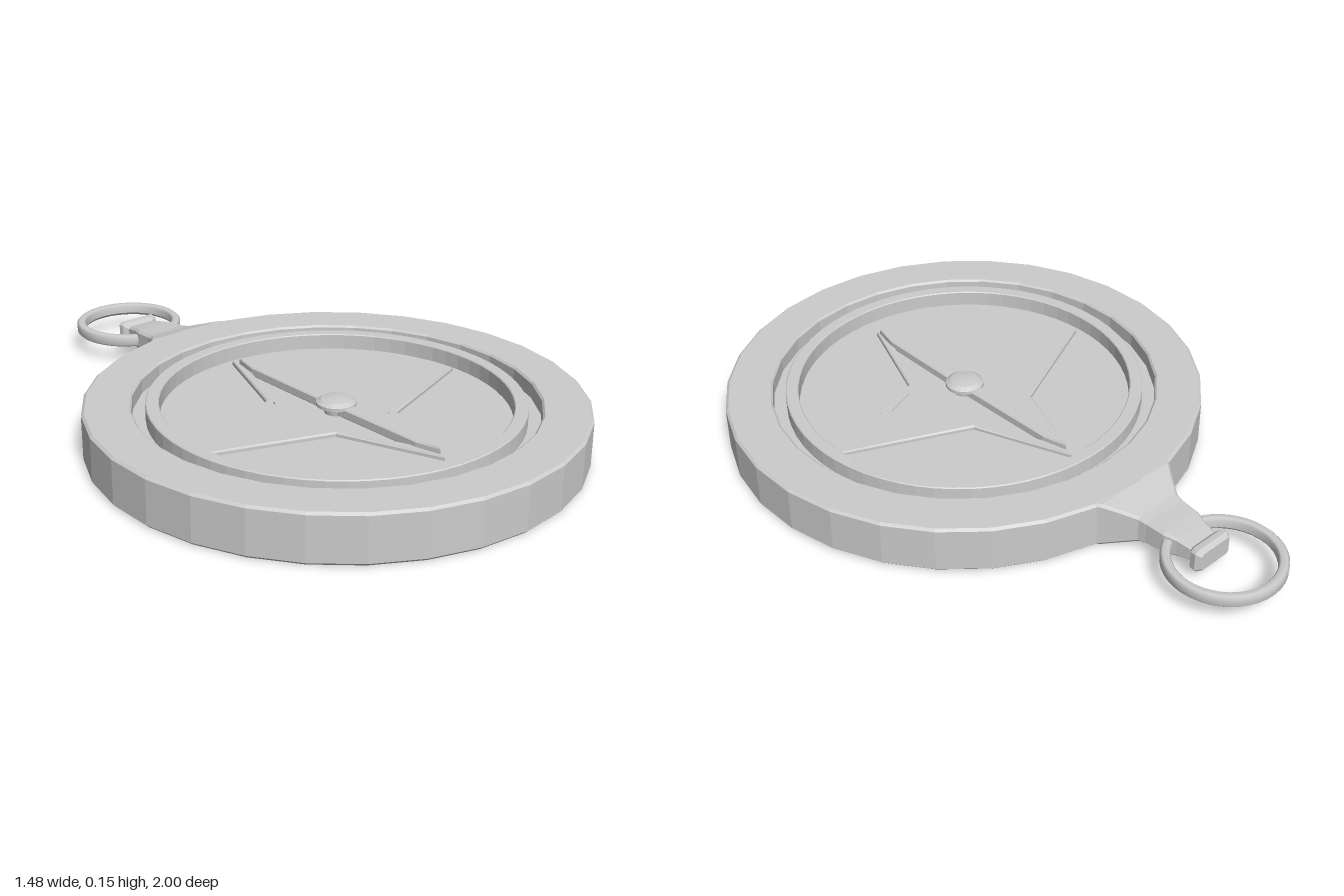
import * as THREE from 'three';

const flat = new THREE.MeshStandardMaterial({ color: 0xcccccc, flatShading: true });
const smooth = new THREE.MeshStandardMaterial({ color: 0xcccccc });
const DIAL_Z = 0.25, FLOOR = 0.1;

function add(group, name, geometry, z = 0, y = 0, material = flat) {
  const mesh = new THREE.Mesh(geometry, material);
  mesh.name = name;
  mesh.position.set(0, y, z);
  group.add(mesh);
  return mesh;
}

const lathe = (points, sides) =>
  new THREE.LatheGeometry(points.map(([r, y]) => new THREE.Vector2(r, y)), sides);

const outline = (points) => points.map(([x, z]) => new THREE.Vector2(x, -z));

// Lays an extruded outline flat, rising from y = 0
function slab(shape, depth, bevel) {
  return new THREE.ExtrudeGeometry(shape, {
    depth, bevelEnabled: bevel > 0, bevelThickness: bevel, bevelSize: bevel,
    bevelOffset: -bevel, bevelSegments: 1,
  }).rotateX(-Math.PI / 2);
}

// Lofts chamfered rectangles along -z; each section is [z, halfWidth, yLow, yHigh]
function loft(sections, chamfer) {
  const pos = [], index = [], n = 8;
  for (const [z, w, lo, hi] of sections) {
    const c = chamfer;
    pos.push(w, lo + c, z, w, hi - c, z, w - c, hi, z, -w + c, hi, z,
      -w, hi - c, z, -w, lo + c, z, -w + c, lo, z, w - c, lo, z);
  }
  for (let s = 0; s < sections.length - 1; s++) {
    for (let i = 0; i < n; i++) {
      const a = s * n + i, b = s * n + (i + 1) % n;
      index.push(a, a + n, b, b, a + n, b + n);
    }
  }
  const last = (sections.length - 1) * n;
  for (let i = 1; i < n - 1; i++) {
    index.push(0, i, i + 1, last, last + i + 1, last + i);
  }
  const g = new THREE.BufferGeometry();
  g.setAttribute('position', new THREE.Float32BufferAttribute(pos, 3));
  g.setIndex(index);
  g.computeVertexNormals();
  return g;
}

export function createModel() {
  const model = new THREE.Group();
  model.name = 'compass';

  // Case: solid disc with a broad rim and a recessed floor
  add(model, 'case', lathe([
    [0, 0], [0.738, 0], [0.746, 0.008], [0.746, 0.143], [0.738, 0.15],
    [0.608, 0.15], [0.602, 0.144], [0.602, FLOOR], [0, FLOOR],
  ], 30), DIAL_Z);

  // Raised ring around the dial, leaving a groove inside the rim
  add(model, 'dialRing', lathe([
    [0.56, FLOOR - 0.01], [0.56, 0.147], [0.557, 0.15],
    [0.523, 0.15], [0.52, 0.147], [0.52, FLOOR - 0.01],
  ], 64), DIAL_Z);

  // Four-pointed star outline on the dial
  const star = [[0, -0.47], [0.12, -0.155], [0.5, 0.02], [0.12, 0.155],
    [0, 0.465], [-0.12, 0.155], [-0.5, 0.02], [-0.12, -0.155]];
  const starShape = new THREE.Shape(outline(star));
  starShape.holes.push(new THREE.Path(outline(star.map(([x, z]) => [x * 0.87, z * 0.87]))));
  add(model, 'starOutline', slab(starShape, 0.009, 0.005), 0.228, FLOOR);

  // Needle and its central pivot
  const needle = new THREE.Shape(outline([
    [0, -0.44], [0.018, -0.36], [0.022, 0], [0.018, 0.36], [0, 0.44],
    [-0.018, 0.36], [-0.022, 0], [-0.018, -0.36]]));
  add(model, 'needle', slab(needle, 0.022, 0.004), 0.235, FLOOR + 0.006);
  add(model, 'pivot', lathe([
    [0.035, FLOOR], [0.038, 0.12], [0.06, 0.124], [0.06, 0.134],
    [0.045, 0.144], [0.02, 0.148], [0, 0.149],
  ], 20), DIAL_Z);

  // Neck flaring out of the case and ending in a flanged tip
  add(model, 'neck', loft([
    [-0.4, 0.21, 0.001, 0.149], [-0.485, 0.145, 0.001, 0.149],
    [-0.53, 0.112, 0.016, 0.135], [-0.575, 0.082, 0.032, 0.121],
    [-0.6, 0.077, 0.035, 0.117], [-0.66, 0.073, 0.038, 0.113],
    [-0.7, 0.06, 0.043, 0.108], [-0.745, 0.052, 0.049, 0.1],
    [-0.757, 0.068, 0.041, 0.11], [-0.775, 0.07, 0.039, 0.112],
    [-0.79, 0.058, 0.046, 0.104],
  ], 0.008));

  // Hanging ring passing through the neck
  add(model, 'hangingRing', lathe([
    [0.148, 0.066], [0.154, 0.058], [0.171, 0.058], [0.178, 0.065], [0.178, 0.089],
    [0.171, 0.096], [0.154, 0.096], [0.148, 0.089], [0.148, 0.066],
  ], 40), -0.822, 0, smooth);

  return model;
}
